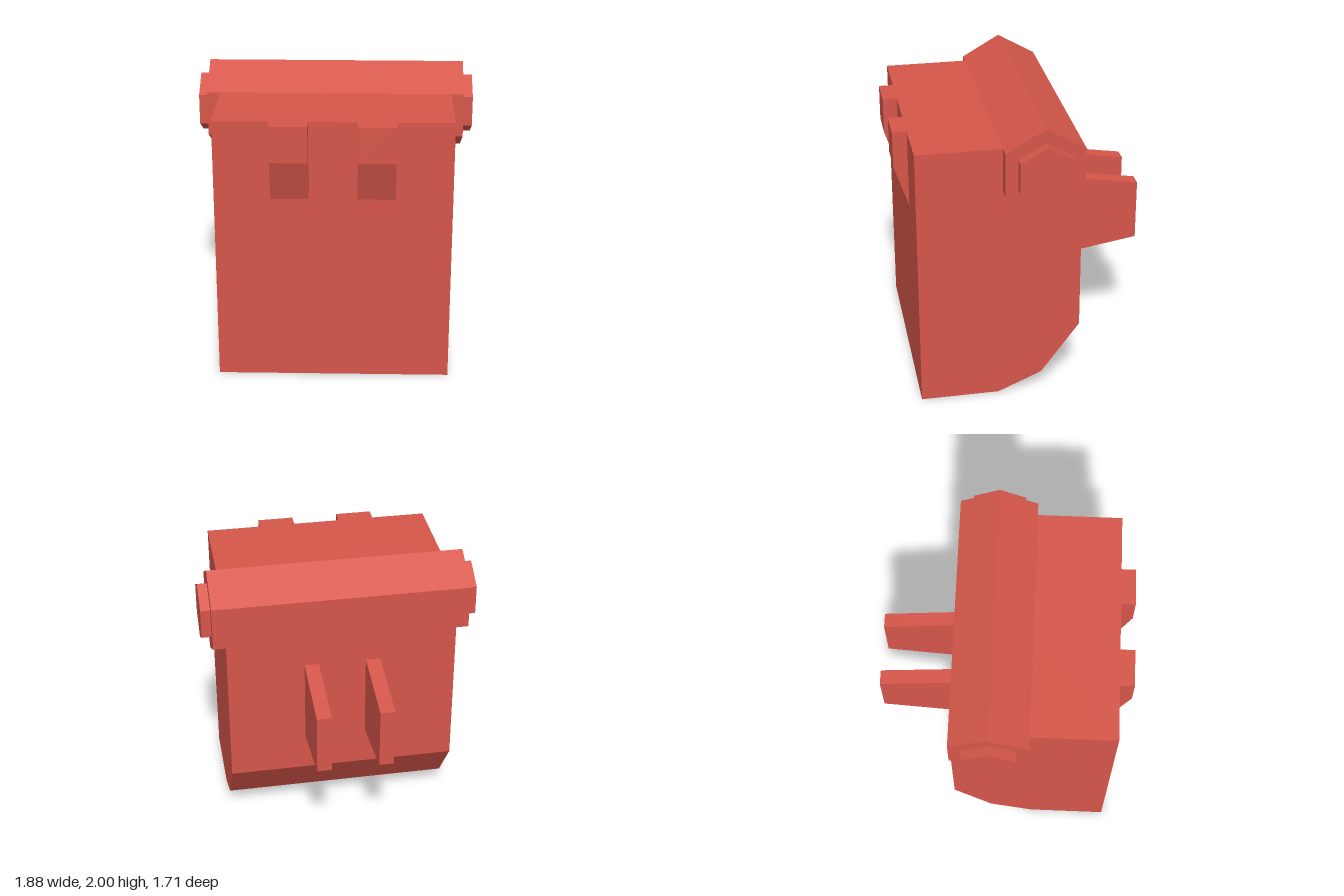
import * as THREE from 'three';

export function createModel() {
  const model = new THREE.Group();
  const red = new THREE.MeshStandardMaterial({ color: 0xd6564a });
  red.name = 'red';

  // Extrudes a side profile of [z, y] points from x0 to x1
  function addPart(name, profile, x0, x1) {
    const shape = new THREE.Shape(profile.map(([z, y]) => new THREE.Vector2(-z, y)));
    const geometry = new THREE.ExtrudeGeometry(shape, { depth: x1 - x0, bevelEnabled: false });
    geometry.rotateY(Math.PI / 2).translate(x0, 0, 0);
    const mesh = new THREE.Mesh(geometry, red);
    mesh.name = name;
    model.add(mesh);
  }

  // Hexagon with a corner pointing up, centred on the hinge axis
  function hexagon(radius) {
    return Array.from({ length: 6 }, (_, i) => {
      const a = (i * Math.PI) / 3;
      return [-0.074 + radius * Math.sin(a), 1.696 + radius * Math.cos(a)];
    });
  }

  // Main block with a bevelled lower back
  addPart('body', [
    [0.76, 0], [0.225, 0], [-0.074, 0.13], [-0.337, 0.49], [-0.337, 1.848], [0.76, 1.848],
  ], -0.787, 0.787);

  // Hexagonal hinge bar and its end caps
  addPart('hingeBar', hexagon(0.304), -0.872, 0.872);
  for (const [name, x0, x1] of [['rightEndCap', -0.938, -0.872], ['leftEndCap', 0.872, 0.938]]) {
    addPart(name, hexagon(0.207), x0, x1);
  }

  // Front catches, sloped underneath
  for (const [name, x0, x1] of [['rightCatch', -0.413, -0.163], ['leftCatch', 0.16, 0.41]]) {
    addPart(name, [[0.76, 1.31], [0.76, 1.848], [0.857, 1.848], [0.857, 1.6]], x0, x1);
  }

  // Tapered fins on the back
  for (const [name, x0, x1] of [['rightFin', -0.263, -0.163], ['leftFin', 0.16, 0.26]]) {
    addPart(name, [[-0.337, 0.755], [-0.337, 1.35], [-0.857, 1.265], [-0.857, 0.84]], x0, x1);
  }

  return model;
}
